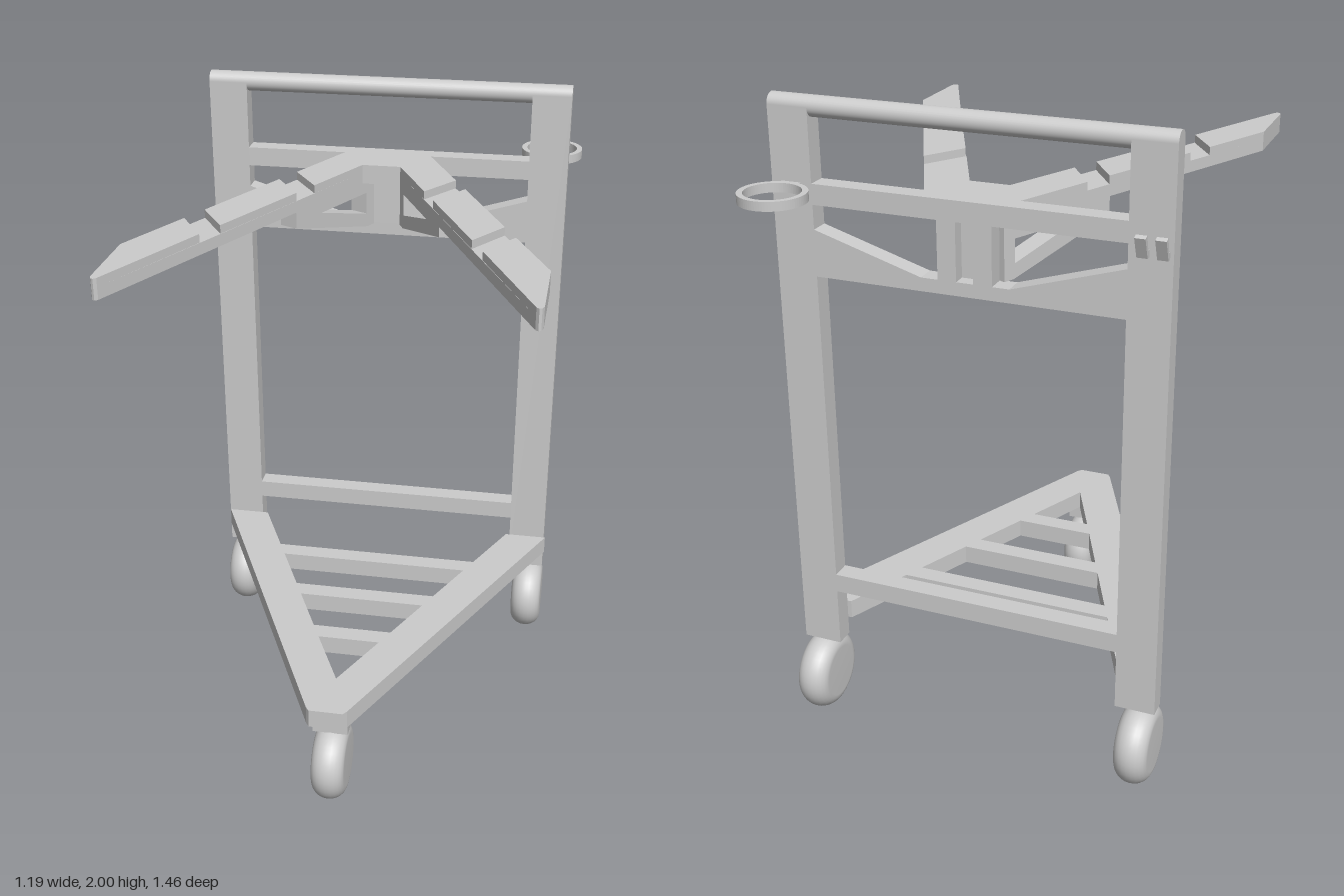
import * as THREE from 'three';

const CX = -0.02; // symmetry plane of the frame
const mat = new THREE.MeshStandardMaterial({ color: 0xcccccc });
const mirrorX = (x) => 2 * CX - x;

export function createModel() {
  const root = new THREE.Group();
  root.name = 'trolley';

  const add = (name, geo) => {
    const m = new THREE.Mesh(geo, mat);
    m.name = name;
    root.add(m);
    return m;
  };
  const box = (name, x0, x1, y0, y1, z0, z1) =>
    add(name, new THREE.BoxGeometry(x1 - x0, y1 - y0, z1 - z0))
      .position.set((x0 + x1) / 2, (y0 + y1) / 2, (z0 + z1) / 2);
  const toShape = (pts) => new THREE.Shape(pts.map(([x, y]) => new THREE.Vector2(x, y)));
  const extrude = (pts, depth, holes = []) => {
    const s = toShape(pts);
    s.holes = holes.map(toShape);
    return new THREE.ExtrudeGeometry(s, { depth, bevelEnabled: false });
  };
  // horizontal plate from an (x, z) outline
  const plate = (name, pts, y0, y1, holes = []) => {
    const flip = (list) => list.map(([x, z]) => [x, -z]);
    const g = extrude(flip(pts), y1 - y0, holes.map(flip));
    g.rotateX(-Math.PI / 2);
    add(name, g).position.y = y0;
  };
  const mirrored = (pts) => pts.map(([x, y]) => [mirrorX(x), y]);
  const withMirror = (pts) => [...pts, ...mirrored(pts).reverse()];

  // upright frame
  box('rightPost', -0.6, -0.478, 0.26, 1.97, -0.53, -0.47);
  box('leftPost', 0.433, 0.555, 0.26, 1.97, -0.53, -0.47);
  const handle = new THREE.CylinderGeometry(0.03, 0.03, 1.155, 32);
  handle.rotateZ(Math.PI / 2);
  add('handleBar', handle).position.set(-0.0225, 1.97, -0.5);
  box('upperRail', -0.478, 0.433, 1.70, 1.76, -0.53, -0.47);
  box('lowerRail', -0.478, 0.433, 0.45, 0.51, -0.53, -0.47);

  // middle rail with sloping gussets
  const rail = extrude(withMirror([[-0.478, 1.49], [-0.478, 1.63], [-0.15, 1.53]]), 0.06);
  add('gussetRail', rail).position.z = -0.53;

  // central uprights with a recess between them
  box('centreWeb', -0.08, 0.04, 1.53, 1.70, -0.49, -0.47);
  box('centreUpright', -0.1, -0.045, 1.53, 1.70, -0.53, -0.47);
  box('centreUpright', 0.005, 0.06, 1.53, 1.70, -0.53, -0.47);

  // support arms: full lower layer, notched upper layer
  const outer = (z) => [-0.16 - 0.468 * (z + 0.47), z];
  const inner = (z) => [-0.08 - 0.472 * (z + 0.345), z];
  const tip = [[-0.6, 0.47], [-0.6, 0.712], [-0.595, 0.723], [-0.588, 0.727], [-0.58, 0.72]];
  plate('supportArms', withMirror([[-0.16, -0.47], ...tip, [-0.08, -0.345]]), 1.70, 1.735);
  const skew = 0.122;
  plate('armRoot', withMirror([[-0.16, -0.47], outer(-0.24), inner(-0.24 + skew), [-0.08, -0.345]]), 1.735, 1.76);
  const middle = [outer(-0.16), outer(0.155), inner(0.155 + skew), inner(-0.16 + skew)];
  const end = [outer(0.235), ...tip, inner(0.235 + skew)];
  for (const [name, pts] of [['armMiddle', middle], ['armEnd', end]]) {
    plate(name, pts, 1.735, 1.76);
    plate(name, mirrored(pts), 1.735, 1.76);
  }

  // triangular brackets beneath the arms
  const dx = 0.175, dz = 0.37, len = Math.hypot(dx, dz);
  for (const side of [-1, 1]) {
    const g = extrude(
      [[0, 1.53], [0.035, 1.53], [len, 1.63], [len, 1.70], [0, 1.70]], 0.06,
      [[[0.04, 1.575], [0.04, 1.645], [0.285, 1.645]]]);
    g.translate(0, 0, -0.03);
    const m = add('armBracket', g);
    m.position.set(CX + side * 0.07, 0, -0.47);
    m.rotation.y = Math.atan2(-dz, side * dx);
  }

  // tapered base with three crossbars
  const baseIn = (z) => [-0.46 + 0.468 * (z + 0.47), z];
  const bay = (z0, z1) => withMirror([baseIn(z0), baseIn(z1)]);
  plate('base',
    withMirror([[-0.46, -0.47], [-0.6, -0.47], [-0.083, 0.62], [-0.072, 0.635]]).concat(
      mirrored([baseIn(-0.265)]), [baseIn(-0.265)]),
    0.32, 0.38,
    [bay(-0.205, -0.03), bay(0.03, 0.2), [baseIn(0.26), [CX, 0.468], mirrored([baseIn(0.26)])[0]]]);

  // wheels with rounded rims
  box('frontWheelMount', -0.075, 0.035, 0.25, 0.32, 0.51, 0.57);
  const profile = [[0, -0.052], [0.082, -0.052]];
  for (let i = 1; i <= 12; i++) {
    const a = -Math.PI / 2 + (i / 12) * Math.PI;
    profile.push([0.082 + 0.044 * Math.cos(a), 0.052 * Math.sin(a)]);
  }
  profile.push([0, 0.052]);
  const wheel = new THREE.LatheGeometry(profile.map(([r, y]) => new THREE.Vector2(r, y)), 40);
  wheel.rotateZ(Math.PI / 2);
  for (const [x, z] of [[-0.547, -0.5], [0.505, -0.5], [CX, 0.54]])
    add('wheel', wheel).position.set(x, 0.13, z);

  // holder ring behind the left post
  const ringShape = new THREE.Shape().absarc(0, 0, 0.097, 0, Math.PI * 2);
  ringShape.holes.push(new THREE.Path().absarc(0, 0, 0.08, 0, Math.PI * 2, true));
  const ring = new THREE.ExtrudeGeometry(ringShape, { depth: 0.027, bevelEnabled: false, curveSegments: 40 });
  ring.rotateX(-Math.PI / 2);
  add('holderRing', ring).position.set(0.495, 1.734, -0.633);
  box('ringMount', 0.465, 0.525, 1.734, 1.76, -0.55, -0.53);

  // pair of hooks behind the right post
  for (const x of [-0.575, -0.52]) {
    const hook = extrude([[0.525, 1.69], [0.525, 1.67], [0.545, 1.67], [0.57, 1.73], [0.555, 1.735], [0.54, 1.69]], 0.03);
    hook.rotateY(Math.PI / 2);
    add('hook', hook).position.x = x - 0.015;
  }

  return root;
}
